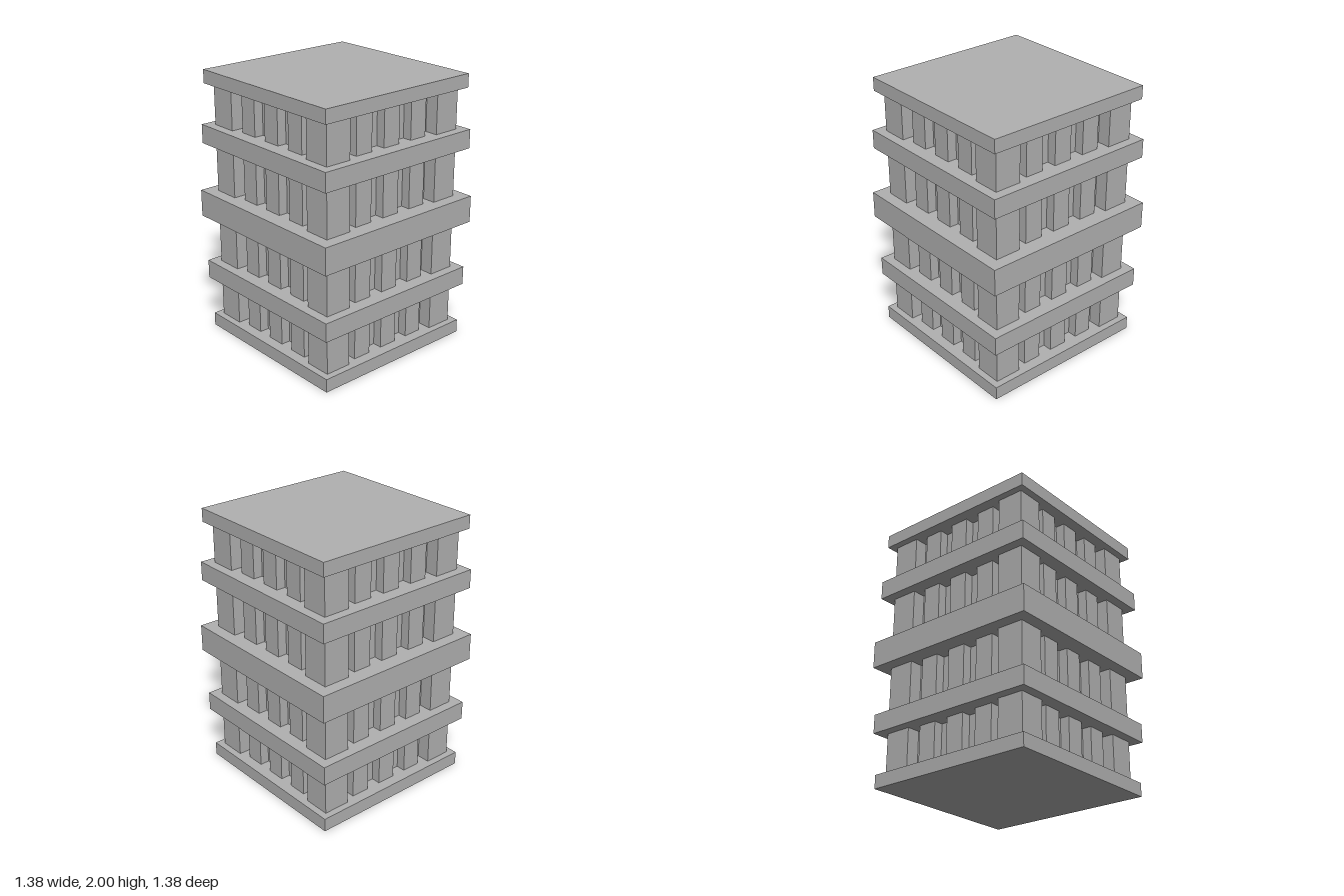
import * as THREE from 'three';

export function createModel() {
  const model = new THREE.Group();
  const stone = new THREE.MeshStandardMaterial({ color: 0xb0b0b0 });
  stone.name = 'grey stone';

  // Square block centred on (x, z), from y0 to y1
  function block(parent, name, width, y0, y1, x = 0, z = 0) {
    const mesh = new THREE.Mesh(new THREE.BoxGeometry(width, y1 - y0, width), stone);
    mesh.name = name;
    mesh.position.set(x, (y0 + y1) / 2, z);
    parent.add(mesh);
  }

  // Horizontal slabs: width, bottom, top
  const slabs = [
    ['baseSlab', 1.3, 0, 0.1],
    ['lowerSlab', 1.34, 0.4, 0.54],
    ['middleSlab', 1.38, 0.9, 1.1],
    ['upperSlab', 1.34, 1.46, 1.6],
    ['roofSlab', 1.3, 1.9, 2],
  ];
  for (const [name, width, y0, y1] of slabs) block(model, name, width, y0, y1);

  // Storeys fill the gaps between neighbouring slabs
  for (let i = 0; i < slabs.length - 1; i++) {
    const y0 = slabs[i][3];
    const y1 = slabs[i + 1][2];
    const storey = new THREE.Group();
    storey.name = `storey${i + 1}`;
    block(storey, 'core', 1, y0, y1);

    // Corner posts
    for (const x of [-0.5, 0.5]) {
      for (const z of [-0.5, 0.5]) block(storey, 'cornerPost', 0.2, y0, y1, x, z);
    }

    // Three slimmer pillars set into each wall
    for (const offset of [-0.25, 0, 0.25]) {
      for (const side of [-0.5, 0.5]) {
        block(storey, 'wallPillar', 0.14, y0, y1, offset, side);
        block(storey, 'wallPillar', 0.14, y0, y1, side, offset);
      }
    }
    model.add(storey);
  }
  return model;
}
